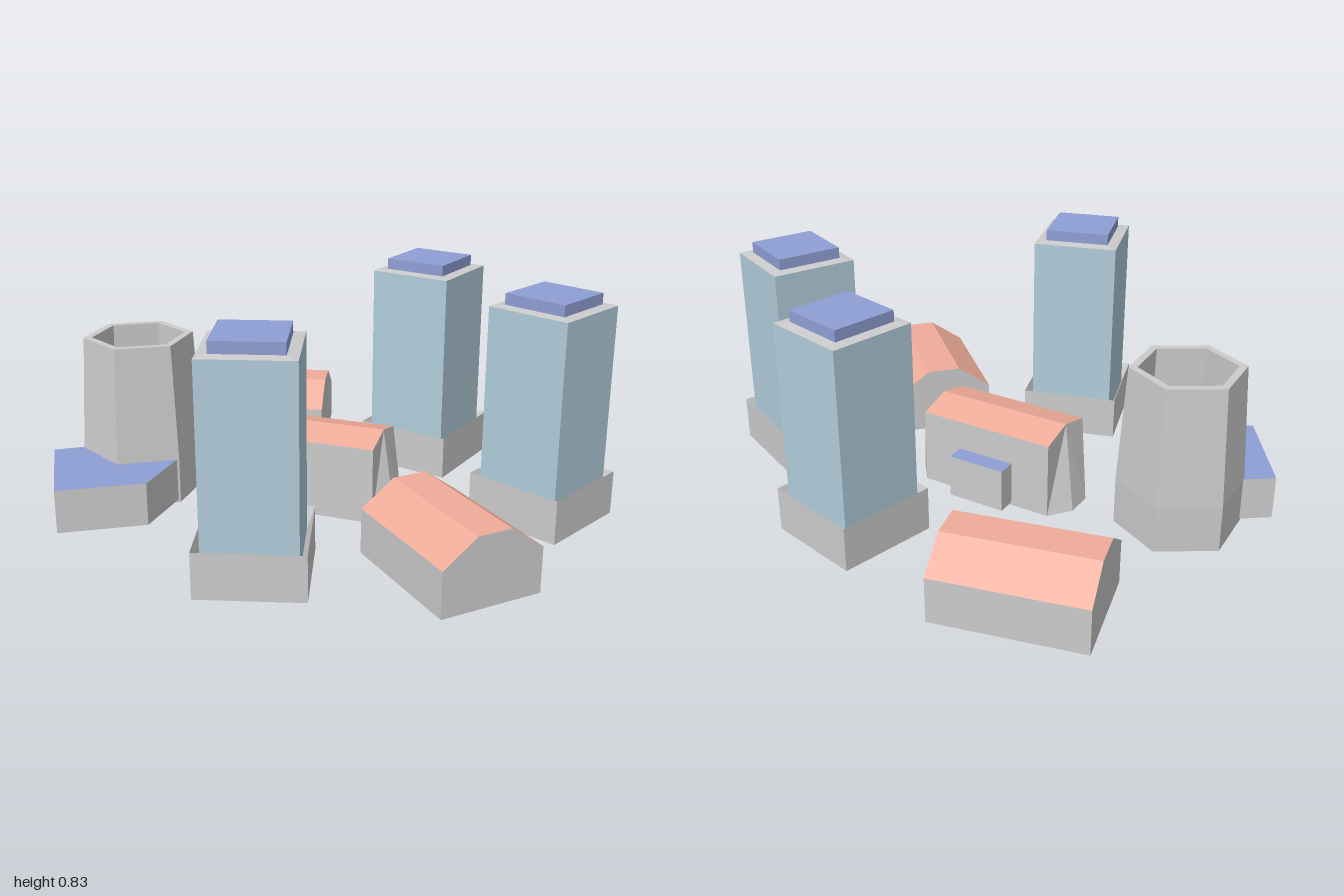
import * as THREE from 'three';

const mat = (color) => new THREE.MeshStandardMaterial({ color, flatShading: true, side: THREE.DoubleSide });
const GREY = mat(0xcccccc), GLASS = mat(0xb1cddb), CORAL = mat(0xf0ac99), BLUE = mat(0x8f9fd4);

function add(parent, name, geometry, material) {
  const mesh = new THREE.Mesh(geometry, material);
  mesh.name = name;
  parent.add(mesh);
  return mesh;
}

function place(parent, name, x, z, turn) {
  const g = new THREE.Group();
  g.name = name;
  g.position.set(x, 0, z);
  g.rotation.y = turn;
  parent.add(g);
  return g;
}

// Joins rows of points with faceted quads; closed rows wrap round
function surface(rows, closed = true) {
  const pos = [];
  for (let i = 0; i < rows.length - 1; i++) {
    const n = rows[i].length;
    for (let j = 0; j < (closed ? n : n - 1); j++) {
      const k = (j + 1) % n;
      const a = rows[i][j], b = rows[i][k], c = rows[i + 1][k], d = rows[i + 1][j];
      pos.push(...a, ...b, ...c, ...a, ...c, ...d);
    }
  }
  const geo = new THREE.BufferGeometry();
  geo.setAttribute('position', new THREE.Float32BufferAttribute(pos, 3));
  geo.computeVertexNormals();
  return geo;
}

// Horizontal outlines, counter-clockwise from above
const square = (s, y) => [[-s, y, s], [s, y, s], [s, y, -s], [-s, y, -s]];
const hexagon = (r, y) => Array.from({ length: 6 }, (_, i) => {
  const a = i * Math.PI / 3;
  return [r * Math.cos(a), y, -r * Math.sin(a)];
});

function flatShape(points, y) {
  const shape = new THREE.Shape(points.map(([x, z]) => new THREE.Vector2(x, -z)));
  return new THREE.ShapeGeometry(shape).rotateX(-Math.PI / 2).translate(0, y, 0);
}

// Square glass tower on a hollow plinth with a rooftop block
function tower(parent, x, z, turn) {
  const g = place(parent, 'tower', x, z, turn);
  add(g, 'plinth', surface([square(0.182, 0.01), square(0.182, 0.172), square(0.156, 0.1)]), GREY);
  add(g, 'glassShaft', surface([square(0.156, 0.1), square(0.156, 0.785)]), GLASS);
  add(g, 'roofRim', surface([square(0.156, 0.785), square(0.118, 0.79)]), GREY);
  add(g, 'rooftopBlock', surface([square(0.118, 0.785), square(0.118, 0.83), square(0, 0.83)]), BLUE);
}

// Low house with a three-facet roof, open underneath
function house(parent, x, z, turn, length, width) {
  const g = place(parent, 'house', x, z, turn);
  const l = length / 2, w = width / 2, f = width / 6;
  const profile = [[-w, 0.172], [-f, 0.26], [f, 0.26], [w, 0.172]];
  add(g, 'roof', surface([-l, l].map((px) => profile.map(([pz, y]) => [px, y, pz])), false), CORAL);
  for (const s of [1, -1]) {
    add(g, 'sideWall', surface([0.01, 0.172].map((y) => [[-s * l, y, s * w], [s * l, y, s * w]]), false), GREY);
    const end = new THREE.Shape([[-w, 0.01], [w, 0.01], [w, 0.172], [f, 0.26], [-f, 0.26], [-w, 0.172]]
      .map(([a, b]) => new THREE.Vector2(a, b)));
    add(g, 'endWall', new THREE.ShapeGeometry(end).rotateY(s * Math.PI / 2).translate(s * l, 0, 0), GREY);
  }
}

// Gabled hall with end walls that splay outward at the foot, and a rear annex
function hall(parent) {
  const g = place(parent, 'hall', -0.02, -0.012, 0.407);
  const l = 0.258, w = 0.128, eave = 0.28, ridge = 0.312;
  add(g, 'roof', surface([-l, l].map((x) => [[x, eave, -w], [x, ridge, 0], [x, eave, w]]), false), CORAL);
  for (const s of [1, -1]) {
    add(g, 'sideWall', surface([0, eave].map((y) => [[-s * l, y, s * w], [s * l, y, s * w]]), false), GREY);
    const foot = [[s * l, 0, s * w], [s * 0.32, 0, s * 0.05], [s * 0.32, 0, -s * 0.05], [s * l, 0, -s * w]];
    const top = [[s * l, eave, s * w], [s * l, ridge, 0], [s * l, ridge, 0], [s * l, eave, -s * w]];
    add(g, 'splayedEndWall', surface([foot, top], false), GREY);
  }
  const annex = (y) => [[-0.11, y, -0.128], [0.108, y, -0.128], [0.108, y, -0.195], [-0.11, y, -0.195]];
  add(g, 'annexWalls', surface([annex(0.01), annex(0.17)]), GREY);
  add(g, 'annexRoof', flatShape(annex(0).map((p) => [p[0], p[2]]), 0.17), BLUE);
}

// Hollow six-sided cooling tower with a flat-roofed block in front
function coolingTower(parent) {
  const g = place(parent, 'coolingTower', -0.597, 0.33, -0.08);
  add(g, 'outerWall', surface([hexagon(0.225, 0), hexagon(0.225, 0.172), hexagon(0.2, 0.6)]), GREY);
  add(g, 'rim', surface([hexagon(0.2, 0.6), hexagon(0.17, 0.6)]), GREY);
  add(g, 'innerWall', surface([hexagon(0.17, 0.6), hexagon(0.18, 0.172)]), GREY);
  add(g, 'innerFloor', surface([hexagon(0.18, 0.172), hexagon(0, 0.172)]), GREY);

  const block = place(parent, 'frontBlock', 0, 0, 0);
  const plan = [[-0.715, 0.48], [-0.79, 0.605], [-0.47, 0.83], [-0.29, 0.57], [-0.38, 0.35]];
  const ring = (y) => plan.map(([x, z]) => [x, y, z]);
  add(block, 'blockWalls', surface([ring(0.01), ring(0.17)]), GREY);
  add(block, 'blockRoof', flatShape(plan, 0.17), BLUE);
}

export function createModel() {
  const model = new THREE.Group();
  model.name = 'cityBlock';
  tower(model, 0.67, -0.46, -0.02);
  tower(model, 0.007, -0.628, 0.165);
  tower(model, 0.25, 0.563, 0.69);
  house(model, 0.698, 0.13, -0.35, 0.497, 0.37);
  house(model, -0.675, -0.4, 0.636, 0.522, 0.386);
  hall(model);
  coolingTower(model);
  return model;
}
